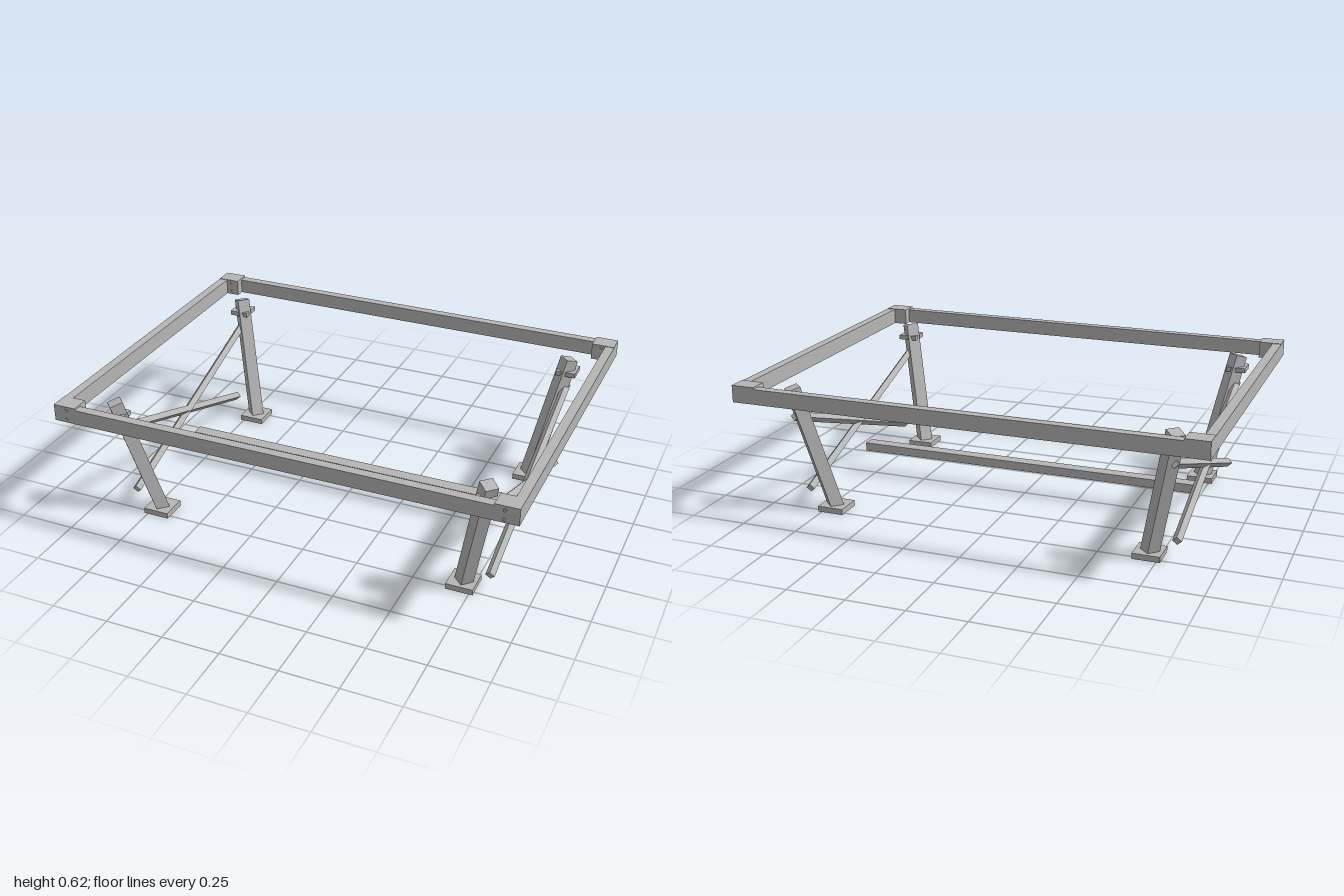
import * as THREE from 'three';

const steel = new THREE.MeshStandardMaterial({ color: 0xb5b5b5 });
steel.name = 'grey steel';

export function createModel() {
  const model = new THREE.Group();
  model.name = 'tableFrame';

  const add = (name, geometry, x, y, z) => {
    const mesh = new THREE.Mesh(geometry, steel);
    mesh.name = name;
    mesh.position.set(x, y, z);
    model.add(mesh);
    return mesh;
  };
  const box = (name, w, h, d, x, y, z) => add(name, new THREE.BoxGeometry(w, h, d), x, y, z);

  // square bar between two points, optionally rolled about its own axis
  const bar = (name, from, to, width, roll = 0) => {
    const a = new THREE.Vector3(...from), b = new THREE.Vector3(...to);
    const mid = a.clone().add(b).multiplyScalar(0.5);
    const mesh = box(name, width, width, a.distanceTo(b), mid.x, mid.y, mid.z);
    mesh.lookAt(b);
    mesh.rotateZ(roll);
  };

  // rectangular top frame
  for (const s of [-1, 1]) {
    box('longRail', 1.8, 0.065, 0.04, 0, 0.5775, s * 0.741);
    box('sideRail', 0.04, 0.071, 1.362, s * 0.98, 0.5805, 0);
  }

  // lower stretcher between the two ends
  box('stretcher', 1.56, 0.038, 0.056, 0, 0.134, 0);

  for (const sx of [-1, 1]) {
    for (const sz of [-1, 1]) {
      // corner block with two small bolts
      box('cornerBlock', 0.1, 0.073, 0.08, sx * 0.95, 0.5815, sz * 0.721);
      for (const y of [0.56, 0.6]) {
        const bolt = add('bolt', new THREE.CylinderGeometry(0.007, 0.007, 0.008, 10),
          sx * 0.942, y, sz * 0.721 + 0.04);
        bolt.rotation.x = Math.PI / 2;
      }

      // splayed leg with foot pad and collar
      bar('leg', [sx * 0.708, 0.012, sz * 0.463], [sx * 0.825, 0.575, sz * 0.58], 0.057);
      box('footPad', 0.117, 0.025, 0.117, sx * 0.708, 0.0125, sz * 0.463);
      box('collar', 0.088, 0.021, 0.088, sx * 0.823, 0.515, sz * 0.58);

      // diagonal brace, set on edge
      bar('brace', [sx * 0.823, 0.447, sz * 0.575], [sx * 0.823, 0.087, -sz * 0.48], 0.028, Math.PI / 4);
    }
  }
  return model;
}
